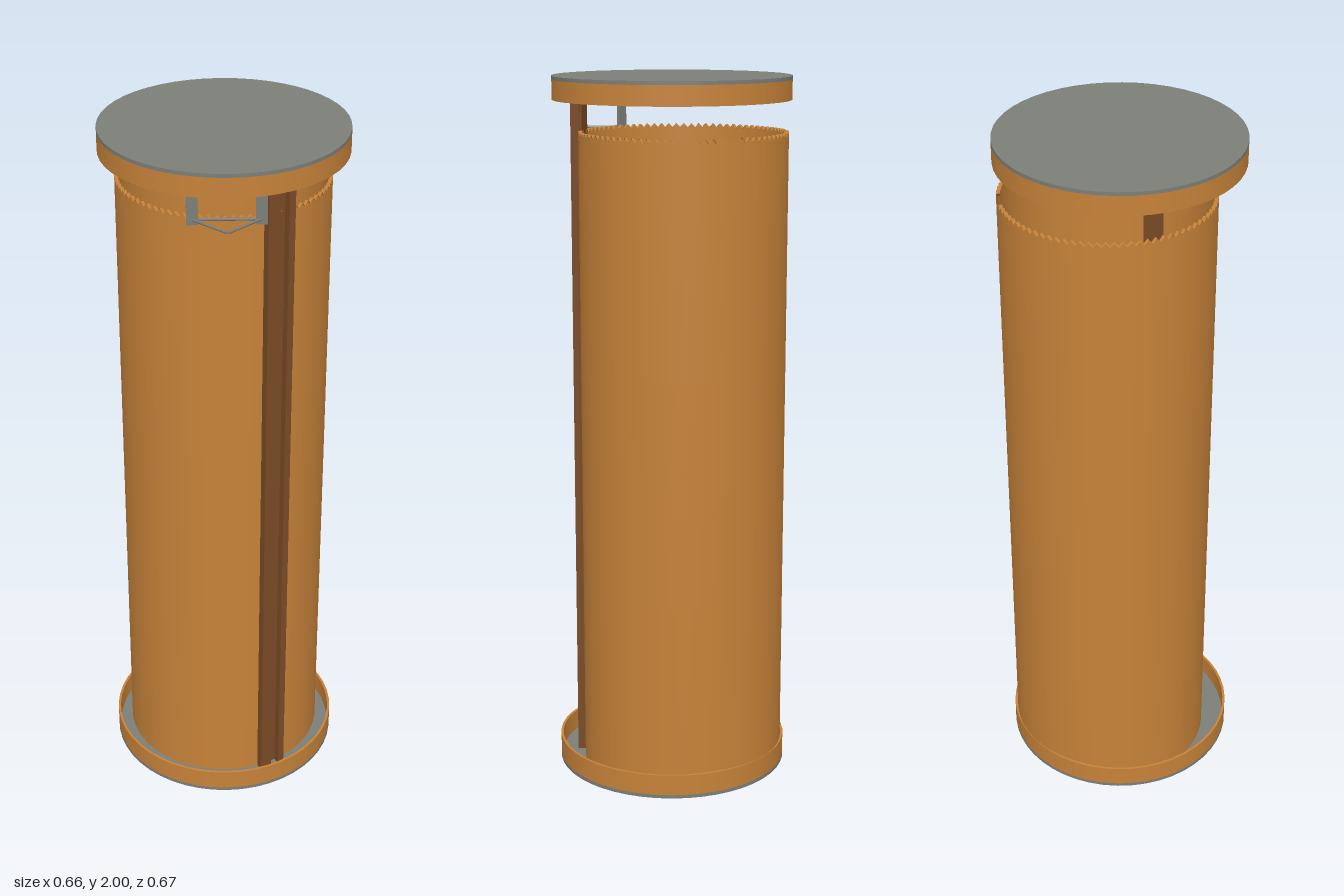
import * as THREE from 'three';
import { mergeGeometries } from 'three/addons/utils/BufferGeometryUtils.js';

const AXIS_Z = -0.04;      // the drum stands slightly behind the centre
const R_OUT = 0.29, R_IN = 0.28;
const SLOT = 0.47;         // angle of the slot, from +z toward +x
const HALF = 0.11;         // half angle of the slot

const mat = (color) => new THREE.MeshStandardMaterial({ color, side: THREE.DoubleSide });

function add(parent, name, geometry, material, x = 0, y = 0, z = 0) {
  const mesh = new THREE.Mesh(geometry, material);
  mesh.name = name;
  mesh.position.set(x, y, z);
  parent.add(mesh);
  return mesh;
}

// One band of the slotted wall; the top edge may be cut into teeth
function wallBand(y0, y1, toothed) {
  const segs = 160, h = y1 - y0;
  const surfaces = [R_OUT, R_IN].map((r) => {
    const g = new THREE.CylinderGeometry(r, r, h, segs, 1, true, SLOT + HALF, Math.PI * 2 - 2 * HALF);
    if (toothed) {
      const p = g.attributes.position;
      for (let i = 1; i <= segs; i += 2) p.setY(i, h / 2 - 0.012);
    }
    return g.translate(0, (y0 + y1) / 2, 0);
  });
  if (toothed) {
    // Flat rim joining both surfaces along the teeth
    const rim = new THREE.RingGeometry(R_IN, R_OUT, segs, 1, SLOT + HALF - Math.PI / 2, Math.PI * 2 - 2 * HALF);
    rim.rotateX(Math.PI / 2).scale(1, -1, 1);
    const p = rim.attributes.position;
    for (let i = 0; i < p.count; i++) {
      p.setY(i, y1 - ((i % (segs + 1)) % 2 ? 0.012 : 0));
    }
    surfaces.push(rim);
  }
  return mergeGeometries(surfaces);
}

// Shallow round tray: coloured rim with a thin disc closing one side
function tray(name, wood, grey, discY, rimY0, rimY1) {
  const g = new THREE.Group();
  g.name = name;
  const outline = [[0.325, rimY0], [0.325, rimY1], [0.332, rimY1], [0.332, rimY0], [0.325, rimY0]];
  const rims = outline.slice(1).map((b, i) => new THREE.LatheGeometry(
    [new THREE.Vector2(...outline[i]), new THREE.Vector2(...b)], 48));
  add(g, name + 'Rim', mergeGeometries(rims), wood);
  add(g, name + 'Disc', new THREE.CylinderGeometry(0.332, 0.332, 0.01, 48), grey, 0, discY, 0);
  return g;
}

export function createModel() {
  const model = new THREE.Group();
  model.name = 'slottedDrum';
  const wood = mat(0xc68239), dark = mat(0x7a4a26), grey = mat(0xcccccc);
  grey.color.set(0x7c7e78);

  // Base and lid
  model.add(tray('base', wood, grey, 0.005, 0.01, 0.07));
  model.add(tray('lid', wood, grey, 1.995, 1.935, 1.99));

  // Drum wall in three bands
  const drum = new THREE.Group();
  drum.name = 'drum';
  drum.position.z = AXIS_Z;
  [0.01, 0.56, 1.2].forEach((y, i, a) => {
    add(drum, 'wallBand' + (i + 1), wallBand(y, i < 2 ? a[i + 1] : 1.85, i === 2), wood);
  });
  model.add(drum);

  // Upright rails beside the slot, with a recessed strip between them
  const post = new THREE.Group();
  post.name = 'slotPost';
  post.position.z = AXIS_Z;
  post.rotation.y = SLOT;
  const h = 1.93;
  [[-0.022, 0.034], [0.03, 0.018]].forEach(([x, w], i) => {
    add(post, i ? 'leftRail' : 'rightRail', new THREE.BoxGeometry(w, h, 0.026), dark, x, 0.01 + h / 2, 0.298);
  });
  add(post, 'slotBack', new THREE.BoxGeometry(0.07, h, 0.008), dark, 0, 0.01 + h / 2, 0.284);
  model.add(post);

  // Pointer: two upright tabs joined by bars meeting at a front tip
  const pointer = new THREE.Group();
  pointer.name = 'pointer';
  const y = 1.843, tip = new THREE.Vector3(0, y, 0.332);
  const rod = (name, a, b) => add(pointer, name,
    new THREE.TubeGeometry(new THREE.LineCurve3(a, b), 1, 0.004, 6), grey);
  const feet = [-1, 1].map((s) => new THREE.Vector3(s * 0.088, y, 0.25));
  feet.forEach((foot, i) => {
    const side = i ? 'left' : 'right';
    add(pointer, side + 'Tab', new THREE.BoxGeometry(0.03, 0.1, 0.01), grey, foot.x, 1.88, foot.z);
    rod(side + 'Bar', foot, tip);
  });
  rod('crossBar', feet[0], feet[1]);
  model.add(pointer);

  return model;
}
